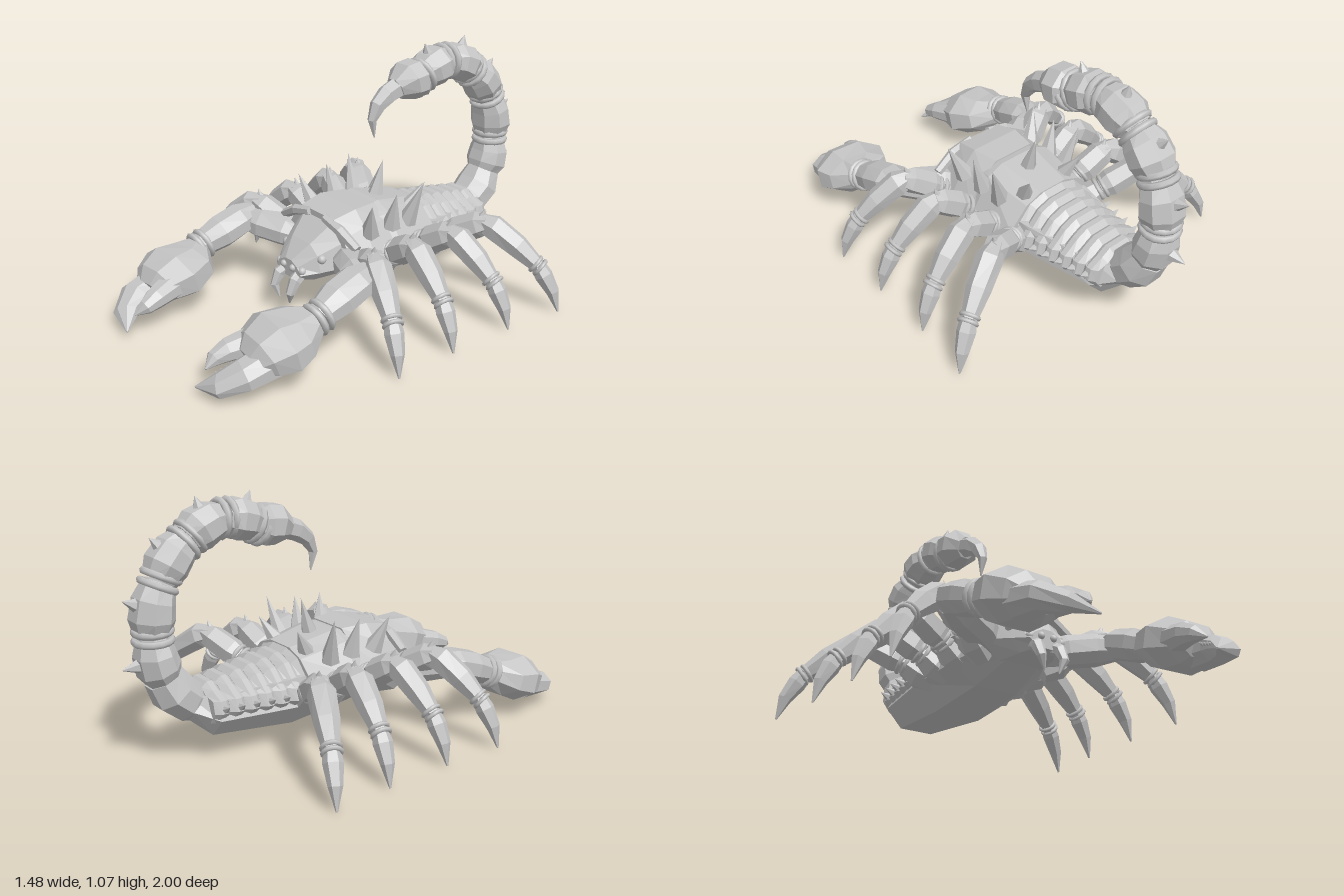
import * as THREE from 'three';

const V = (x, y, z) => new THREE.Vector3(x, y, z);
const shell = new THREE.MeshStandardMaterial({ color: 0xc4c4c4 });
shell.name = 'shellGrey';

export function createModel() {
  const model = new THREE.Group();
  model.name = 'scorpion';

  const add = (geometry, name, parent = model) => {
    const mesh = new THREE.Mesh(geometry, shell);
    mesh.name = name;
    parent.add(mesh);
    return mesh;
  };
  const group = (name) => {
    const g = new THREE.Group();
    g.name = name;
    model.add(g);
    return g;
  };
  const faceted = (geometry) => {
    const g = geometry.index ? geometry.toNonIndexed() : geometry;
    g.computeVertexNormals();
    return g;
  };

  // Closed faceted skin over cross-sections that run counter-clockwise about the travel direction
  const skin = (rings) => {
    const pos = [];
    const tri = (...pts) => pts.forEach((p) => pos.push(p.x, p.y, p.z));
    const n = rings[0].length;
    const mid = (ring) => ring.reduce((s, p) => s.add(p), V(0, 0, 0)).divideScalar(n);
    const first = rings[0], last = rings[rings.length - 1];
    const c0 = mid(first), c1 = mid(last);
    for (let j = 0; j < n; j++) {
      const k = (j + 1) % n;
      for (let i = 0; i < rings.length - 1; i++) {
        const a = rings[i], b = rings[i + 1];
        tri(a[j], a[k], b[k]);
        tri(a[j], b[k], b[j]);
      }
      tri(c0, first[k], first[j]);
      tri(c1, last[j], last[k]);
    }
    const g = new THREE.BufferGeometry();
    g.setAttribute('position', new THREE.Float32BufferAttribute(pos, 3));
    return faceted(g);
  };

  // Limb: elliptical sections [width, height] along a path
  const limb = (pts, radii, side = V(1, 0, 0), sides = 8) => skin(pts.map((p, i) => {
    const t = pts[Math.min(i + 1, pts.length - 1)].clone().sub(pts[Math.max(i - 1, 0)]).normalize();
    const b = side.clone().addScaledVector(t, -side.dot(t)).normalize();
    const n = t.clone().cross(b);
    const [rw, rh = rw] = [radii[i]].flat();
    return Array.from({ length: sides }, (_, j) => {
      const a = ((j + 0.5) / sides) * Math.PI * 2;
      return p.clone().addScaledVector(b, rw * Math.cos(a)).addScaledVector(n, rh * Math.sin(a));
    });
  }));

  // Hull: mirrored half outlines (bottom to top) stacked along z
  const hull = (sections) => skin(sections.map(([z, half]) => [
    ...half.map(([x, y]) => V(x, y, z)),
    ...half.slice().reverse().map(([x, y]) => V(-x, y, z)),
  ]));

  const spike = (base, tip, r, name, parent) => {
    const d = tip.clone().sub(base);
    const m = add(faceted(new THREE.ConeGeometry(r, d.length(), 6)), name, parent);
    m.position.copy(base).addScaledVector(d, 0.5);
    m.quaternion.setFromUnitVectors(V(0, 1, 0), d.normalize());
  };

  // Pair of bands wrapped around a joint
  const bands = (p, dir, r, tube, gap, name, parent) => {
    const d = dir.clone().normalize();
    for (const s of [-1, 1]) {
      const m = add(new THREE.TorusGeometry(r, tube, 6, 14), name, parent);
      m.position.copy(p).addScaledVector(d, s * gap);
      m.quaternion.setFromUnitVectors(V(0, 0, 1), d);
    }
  };

  // Belly, carapace and head
  add(hull([
    [-0.75, [[0.04, 0.2], [0.09, 0.24], [0.05, 0.3]]],
    [-0.66, [[0.08, 0.12], [0.155, 0.2], [0.12, 0.29]]],
    [-0.3, [[0.11, 0.095], [0.21, 0.2], [0.19, 0.32]]],
    [0, [[0.1, 0.125], [0.22, 0.2], [0.21, 0.33]]],
    [0.19, [[0.08, 0.18], [0.17, 0.23], [0.16, 0.33]]],
  ]), 'belly');
  add(hull([
    [-0.28, [[0.2, 0.25], [0.24, 0.29], [0.15, 0.38], [0.07, 0.41]]],
    [-0.06, [[0.21, 0.25], [0.25, 0.29], [0.17, 0.42], [0.09, 0.455]]],
    [0.02, [[0.2, 0.25], [0.24, 0.29], [0.15, 0.41], [0.09, 0.44]]],
  ]), 'rearCarapace');
  add(hull([
    [-0.03, [[0.2, 0.25], [0.25, 0.29], [0.17, 0.4], [0.1, 0.455]]],
    [0.09, [[0.2, 0.25], [0.25, 0.29], [0.18, 0.4], [0.12, 0.462]]],
    [0.2, [[0.15, 0.22], [0.23, 0.28], [0.17, 0.37], [0.11, 0.44]]],
  ]), 'frontCarapace');
  add(hull([
    [0.17, [[0.1, 0.18], [0.2, 0.25], [0.17, 0.36], [0.1, 0.44]]],
    [0.29, [[0.08, 0.18], [0.13, 0.23], [0.11, 0.3], [0.06, 0.34]]],
    [0.36, [[0.04, 0.19], [0.085, 0.22], [0.06, 0.25], [0.02, 0.27]]],
  ]), 'head');

  // Overlapping back plates with small edge spikes
  const abdomen = group('abdomen');
  for (let i = 0; i < 7; i++) {
    const z = -0.22 - i * 0.064, w = 0.235 - i * 0.011, top = 0.405 - i * 0.011;
    const half = (s) => [[w * 0.8 * s, 0.19], [w * s, 0.235], [w * 0.92 * s, 0.285],
      [w * 0.55 * s, top - 0.025 - (1 - s) * 0.2], [0.05, top - (1 - s) * 0.2]];
    add(hull([[z - 0.085, half(0.9)], [z - 0.06, half(1)], [z - 0.035, half(1)], [z, half(0.88)]]),
      'backPlate', abdomen);
    if (i > 1) for (const s of [-1, 1]) {
      spike(V(s * w * 0.93, 0.25, z - 0.04), V(s * (w + 0.03), 0.27, z - 0.045), 0.02, 'edgeSpike', abdomen);
    }
  }

  // Tail: bulging segments with bands and a spike on each
  const tail = group('tail');
  const P = (z, y) => V(0, y, z);
  add(limb([P(-0.66, 0.235), P(-0.73, 0.265), P(-0.79, 0.315), P(-0.83, 0.385)],
    [0.07, [0.1, 0.09], [0.105, 0.095], 0.08]), 'tailBase', tail);
  const joints = [P(-0.82, 0.37), P(-0.863, 0.555), P(-0.825, 0.765), P(-0.7, 0.91), P(-0.535, 0.975), P(-0.38, 0.93)];
  const mids = [P(-0.86, 0.45), P(-0.865, 0.66), P(-0.775, 0.855), P(-0.625, 0.965), P(-0.455, 0.965)];
  const tips = [P(-1, 0.44), P(-0.985, 0.71), P(-0.86, 0.935), P(-0.66, 1.075), P(-0.41, 1.075)];
  mids.forEach((m, i) => {
    const a = joints[i], b = joints[i + 1];
    add(limb([a, a.clone().lerp(m, 0.6), m.clone().lerp(b, 0.3), b],
      [0.072, [0.102, 0.09], [0.098, 0.084], 0.065]), 'tailSegment', tail);
    spike(m.clone().lerp(tips[i], 0.4), tips[i], 0.036, 'tailSpike', tail);
    const next = i < 4 ? mids[i + 1] : P(-0.3, 0.9);
    bands(b, next.clone().sub(m), 0.072, 0.015, 0.019, 'tailBand', tail);
  });
  add(limb([P(-0.39, 0.935), P(-0.355, 0.93), P(-0.3, 0.925), P(-0.24, 0.9)],
    [0.06, [0.1, 0.09], [0.1, 0.088], 0.052]), 'venomBulb', tail);
  add(limb([P(-0.26, 0.91), P(-0.19, 0.885), P(-0.135, 0.845), P(-0.105, 0.785), P(-0.118, 0.705)],
    [0.05, 0.046, 0.036, 0.021, 0.003], V(1, 0, 0), 6), 'stinger', tail);

  // Centre back spike
  spike(V(0, 0.41, -0.12), V(0, 0.59, -0.17), 0.042, 'backSpike');

  for (const s of [-1, 1]) {
    const word = s > 0 ? 'left' : 'right';
    const S = (x, y, z) => V(s * x, y, z);

    // Back spikes
    [[0.19, 0.37, 0.07, 0.25, 0.52, 0.11], [0.19, 0.37, -0.05, 0.235, 0.53, -0.04],
      [0.18, 0.36, -0.15, 0.25, 0.55, -0.18], [0.11, 0.38, -0.22, 0.145, 0.5, -0.29],
    ].forEach((k) => spike(S(...k.slice(0, 3)), S(...k.slice(3)), 0.043, word + 'BackSpike'));

    // Face: brow, eyes and fang
    add(limb([S(0.05, 0.43, 0.2), S(0.15, 0.405, 0.2), S(0.25, 0.35, 0.19)], [0.02, 0.024, 0.02], V(0, 0, 1), 6), word + 'Brow');
    [[0.03, 0.24, 0.36, 0.016], [0.075, 0.235, 0.345, 0.018], [0.12, 0.285, 0.275, 0.02]].forEach(([x, y, z, r]) => {
      add(new THREE.SphereGeometry(r, 10, 8), word + 'Eye').position.copy(S(x, y, z));
    });
    add(limb([S(0.04, 0.215, 0.32), S(0.055, 0.19, 0.37), S(0.055, 0.14, 0.395), S(0.035, 0.085, 0.385)],
      [0.03, 0.028, 0.02, 0.003], V(1, 0, 0), 6), word + 'Fang');

    // Four legs, each swept from hip z to foot z
    [[0.13, 0.345, 0.68], [-0.015, 0.055, 0.685], [-0.15, -0.255, 0.7], [-0.26, -0.535, 0.735]].forEach(([z0, z1, reach], i) => {
      const leg = group(word + 'Leg' + (i + 1));
      const L = (x, y) => S(0.17 + (x - 0.17) * (reach - 0.17) / 0.565, y, z0 + (z1 - z0) * (x - 0.17) / 0.565);
      const fore = V(0, 0, 1);
      const hip = L(0.27, 0.285), knee = L(0.44, 0.37), ankle = L(0.645, 0.21);
      add(limb([L(0.14, 0.2), L(0.21, 0.24), hip], [0.05, 0.068, 0.048], fore, 6), 'hip', leg);
      add(limb([hip, L(0.31, 0.305), L(0.4, 0.355), knee], [0.045, 0.062, 0.058, 0.042], fore, 6), 'thigh', leg);
      add(limb([L(0.4, 0.375), L(0.46, 0.355), L(0.56, 0.285), ankle], [0.035, 0.058, 0.052, 0.034], fore, 6), 'shin', leg);
      add(limb([ankle, L(0.67, 0.17), L(0.71, 0.1), L(0.735, 0.01)], [0.034, 0.04, 0.029, 0.004], fore, 6), 'foot', leg);
      bands(hip, knee.clone().sub(hip), 0.046, 0.01, 0.013, 'hipBand', leg);
      bands(ankle, ankle.clone().sub(knee), 0.036, 0.009, 0.012, 'ankleBand', leg);
      spike(L(0.41, 0.39), L(0.425, 0.432), 0.02, 'kneeSpike', leg);
    });

    // Pincer arm
    const arm = group(word + 'Pincer');
    add(limb([S(0.13, 0.26, 0.15), S(0.22, 0.28, 0.2), S(0.33, 0.295, 0.25), S(0.42, 0.305, 0.3)],
      [0.06, [0.08, 0.07], [0.085, 0.07], 0.05], V(0, 0, 1)), 'upperArm', arm);
    add(limb([S(0.4, 0.32, 0.26), S(0.405, 0.31, 0.33), S(0.41, 0.275, 0.43), S(0.42, 0.235, 0.53)],
      [0.055, [0.09, 0.067], [0.088, 0.072], 0.058]), 'forearm', arm);
    bands(S(0.42, 0.235, 0.53), V(0, -0.35, 1), 0.06, 0.014, 0.017, 'wristBand', arm);
    add(limb([S(0.42, 0.225, 0.54), S(0.395, 0.195, 0.61), S(0.38, 0.175, 0.7), S(0.375, 0.15, 0.78), S(0.37, 0.13, 0.82)],
      [0.06, [0.15, 0.088], [0.18, 0.112], [0.14, 0.09], [0.09, 0.05]]), 'palm', arm);
    add(limb([S(0.415, 0.13, 0.76), S(0.405, 0.11, 0.87), S(0.355, 0.075, 0.945), S(0.262, 0.04, 0.995)],
      [[0.085, 0.068], [0.08, 0.055], [0.06, 0.038], 0.004]), 'outerFinger', arm);
    add(limb([S(0.295, 0.16, 0.76), S(0.267, 0.145, 0.85), S(0.258, 0.125, 0.905), S(0.268, 0.1, 0.95)],
      [[0.065, 0.057], [0.052, 0.046], [0.036, 0.032], 0.004]), 'innerFinger', arm);
    for (let i = 0; i < 4; i++) {
      const z = 0.865 + i * 0.02, x = 0.34 - i * 0.006, y = 0.11 - i * 0.008;
      spike(S(x, y, z), S(x - 0.032, y + 0.008, z), 0.01, 'tooth', arm);
    }
  }
  return model;
}
